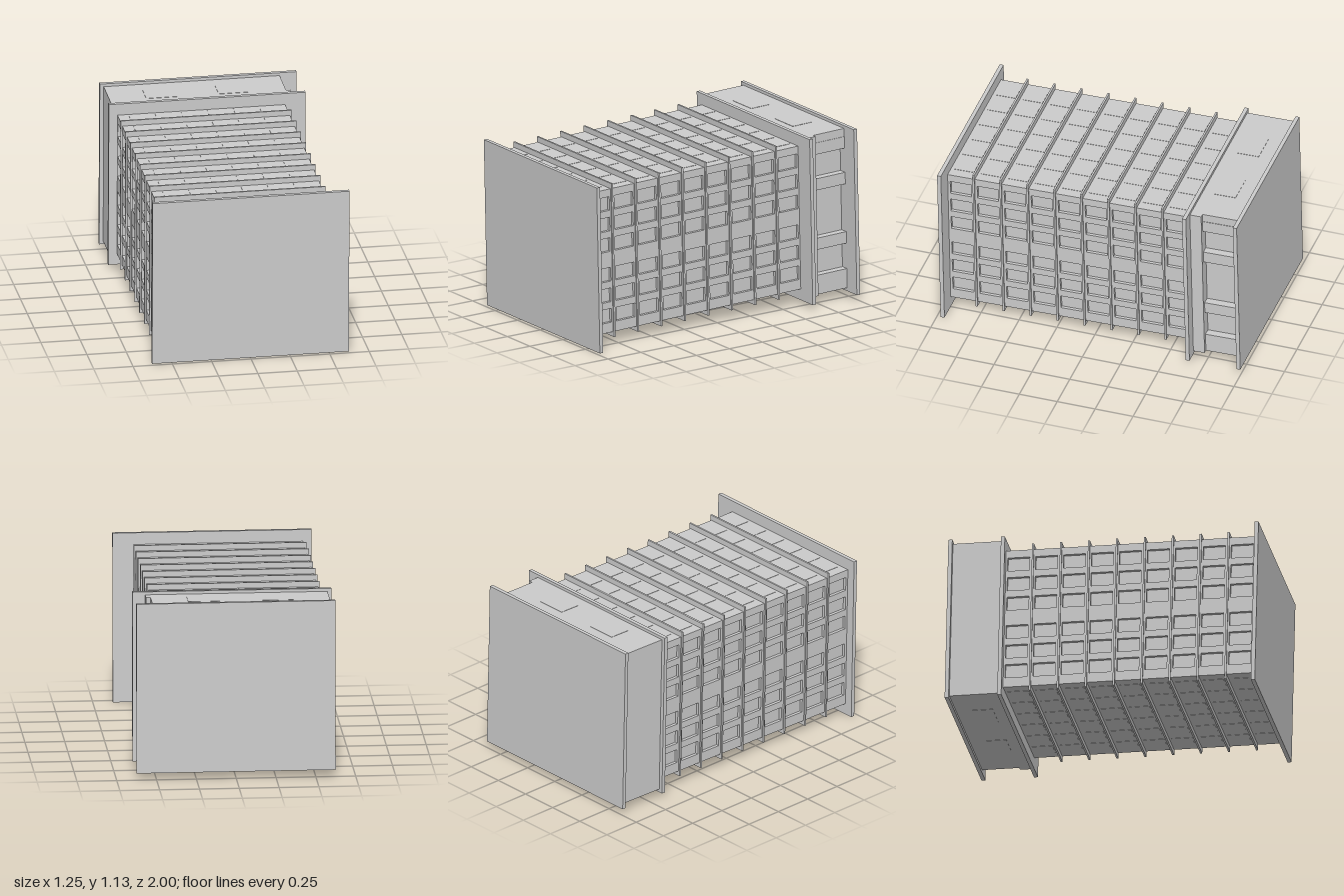
import * as THREE from 'three';

const material = new THREE.MeshStandardMaterial({ color: 0xcccccc, flatShading: true });

// Box given by its lower and upper bounds on each axis
function block(parent, name, [x0, x1], [y0, y1], [z0, z1]) {
  const mesh = new THREE.Mesh(new THREE.BoxGeometry(x1 - x0, y1 - y0, z1 - z0), material);
  mesh.position.set((x0 + x1) / 2, (y0 + y1) / 2, (z0 + z1) / 2);
  mesh.name = name;
  parent.add(mesh);
  return mesh;
}

function rectangle(path, x0, x1, y0, y1) {
  path.moveTo(x0, y0);
  path.lineTo(x1, y0);
  path.lineTo(x1, y1);
  path.lineTo(x0, y1);
  path.closePath();
  return path;
}

export function createModel() {
  const model = new THREE.Group();
  model.name = 'ribbedContainer';

  // The whole assembly leans slightly about its centre
  const body = new THREE.Group();
  body.name = 'body';
  body.position.y = 0.567;
  body.rotation.x = 0.022;
  model.add(body);

  const left = -0.57, right = 0.495, half = 0.47, inset = 0.02;
  const zFront = 0.963, zMid = -0.628, pitch = 0.178, firstRib = 0.79;
  const rows = [0.375, 0.24, 0.105, -0.09, -0.225, -0.36];
  const bays = Array.from({ length: 9 }, (_, i) => firstRib + 0.087 - i * pitch);

  // End plates and middle flange
  block(body, 'frontPlate', [-0.625, 0.625], [-0.543, 0.545], [zFront, 0.988]);
  block(body, 'backPlate', [-0.625, 0.625], [-0.543, 0.545], [-0.988, -0.963]);
  block(body, 'middleFlange', [-0.625, 0.625], [-0.543, 0.545], [-0.653, zMid]);

  // Main core with a lattice of recessed cells on both sides
  block(body, 'core', [left + inset, right - inset], [-half, half], [zMid, zFront]);
  const lattice = rectangle(new THREE.Shape(), -zFront, -zMid, -half, half);
  for (const z of bays) {
    for (const y of rows) {
      lattice.holes.push(rectangle(new THREE.Path(), -z - 0.07, -z + 0.07, y - 0.045, y + 0.045));
    }
  }
  const latticeGeometry = new THREE.ExtrudeGeometry(lattice, { depth: inset, bevelEnabled: false });
  for (const [name, x] of [['leftLattice', right - inset], ['rightLattice', left]]) {
    const mesh = new THREE.Mesh(latticeGeometry, material);
    mesh.name = name;
    mesh.rotation.y = Math.PI / 2;
    mesh.position.x = x;
    body.add(mesh);
  }

  // Ribs around the core
  for (let i = 0; i < 8; i++) {
    const z = firstRib - i * pitch;
    block(body, 'rib', [left - 0.01, right + 0.01], [-0.503, 0.505], [z - 0.006, z + 0.006]);
  }

  // Faint panels on the top and underside
  for (const z of bays) {
    for (let i = 0; i < 6; i++) {
      const x = -0.452 + i * 0.166;
      block(body, 'panel', [x - 0.05, x + 0.05], [-half - 0.002, half + 0.002], [z - 0.065, z + 0.065]);
    }
  }

  // Rear section, with an open framed side on the left
  const zRear = [-0.963, -0.653];
  block(body, 'rearCore', [-0.6, 0.47], [-0.522, 0.526], zRear);
  block(body, 'rearTop', [0.47, 0.517], [0.47, 0.526], zRear);
  block(body, 'rearBottom', [0.47, 0.517], [-0.522, -0.468], zRear);
  block(body, 'rearPost', [0.47, 0.545], [-0.522, 0.526], [-0.727, -0.653]);
  for (const y of [0.435, 0.2, -0.19, -0.433]) {
    block(body, 'rearBar', [0.46, 0.52], [y - 0.038, y + 0.038], zRear);
  }
  for (const x of [-0.27, 0.19]) {
    block(body, 'rearPanel', [x - 0.1, x + 0.1], [-0.524, 0.528], [-0.87, -0.73]);
  }

  return model;
}
